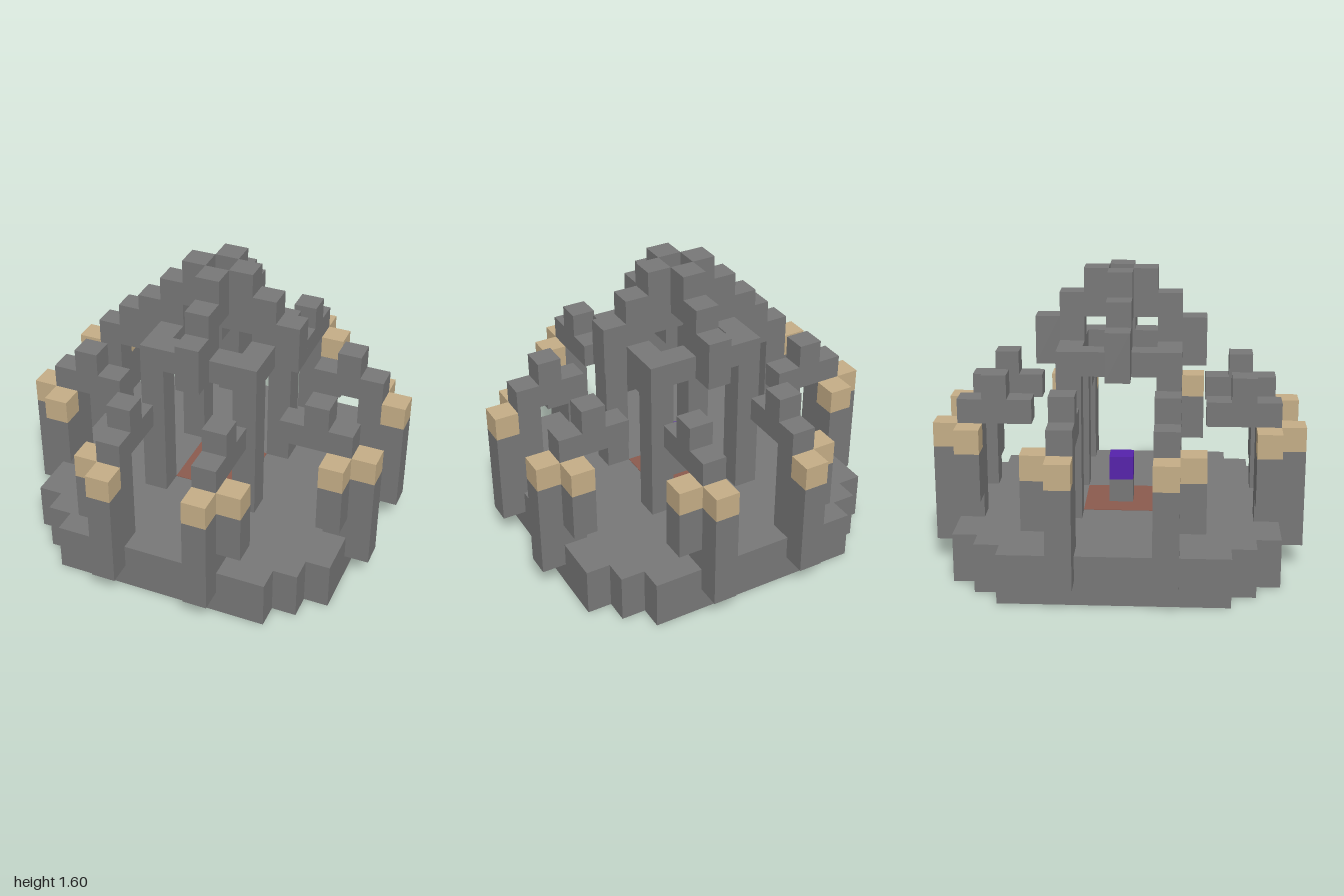
import * as THREE from 'three';

const U = 2 / 15; // edge of one cube

export function createModel() {
  const model = new THREE.Group();
  model.name = 'pavilion';

  const mat = (name, color) => {
    const m = new THREE.MeshStandardMaterial({ color });
    m.name = name;
    return m;
  };
  const stone = mat('grey stone', 0x777777);
  const sand = mat('sand cap', 0xc4ad86);
  const purple = mat('purple crystal', 0x5522aa);
  const red = mat('red floor', 0x8a5a4e);

  // box covering whole cubes; x, y and z are [first, last] cube indices
  const block = (parent, name, material, x, y, z) => {
    const size = ([a, b]) => (b - a + 1) * U;
    const mid = ([a, b]) => ((a + b) / 2) * U;
    const mesh = new THREE.Mesh(new THREE.BoxGeometry(size(x), size(y), size(z)), material);
    mesh.position.set(mid(x), mid(y) + U / 2, mid(z));
    mesh.name = name;
    parent.add(mesh);
  };

  // stepped round base
  const steps = [[6.5, 4.5], [5.5, 4.5], [5.5, 5.5], [4.5, 5.5], [4.5, 6.5]];
  const outline = [];
  for (let q = 0; q < 4; q++) {
    for (const [a, b] of steps) {
      let [x, y] = [a, b];
      for (let i = 0; i < q; i++) [x, y] = [-y, x];
      outline.push(new THREE.Vector2(x * U, y * U));
    }
  }
  const baseGeo = new THREE.ExtrudeGeometry(new THREE.Shape(outline), { depth: 2 * U, bevelEnabled: false });
  baseGeo.rotateX(-Math.PI / 2);
  const base = new THREE.Mesh(baseGeo, stone);
  base.name = 'base';
  model.add(base);

  // altar in the middle
  const floor = new THREE.Mesh(new THREE.BoxGeometry(3 * U, 0.006, 3 * U), red);
  floor.position.y = 2 * U;
  floor.name = 'altarFloor';
  model.add(floor);
  block(model, 'pedestal', stone, [0, 0], [2, 2], [0, 0]);
  block(model, 'crystal', purple, [0, 0], [3, 3], [0, 0]);

  // four identical sides
  for (let q = 0; q < 4; q++) {
    const side = new THREE.Group();
    side.name = 'side' + (q + 1);
    side.rotation.y = (q * Math.PI) / 2;
    model.add(side);

    for (const s of [-1, 1]) {
      const near = [2 * s, 2 * s];
      const far = [3 * s, 3 * s];
      block(side, 'outerPillar', stone, near, [1, 4], [7, 7]);
      block(side, 'outerPillarCap', sand, near, [5, 5], [7, 7]);
      block(side, 'innerPillar', stone, near, [2, 5], [6, 6]);
      block(side, 'hangingBlock', stone, far, [3, 4], [6, 6]);
      block(side, 'hangingBlockCap', sand, far, [5, 5], [6, 6]);
      block(side, 'brokenArch', stone, near, [6, 6], [4, 6]);
      block(side, 'archKnob', stone, near, [7, 7], [5, 5]);
    }

    // central tower: leg, ring beam and open stepped crown
    block(side, 'towerLeg', stone, [2, 2], [2, 7], [2, 2]);
    block(side, 'ringBeam', stone, [-1, 2], [8, 8], [2, 2]);
    for (let i = 0; i < 3; i++) {
      block(side, 'crownStep', stone, [0, 0], [8 + i, 9 + i], [3 - i, 3 - i]);
    }
  }
  return model;
}
